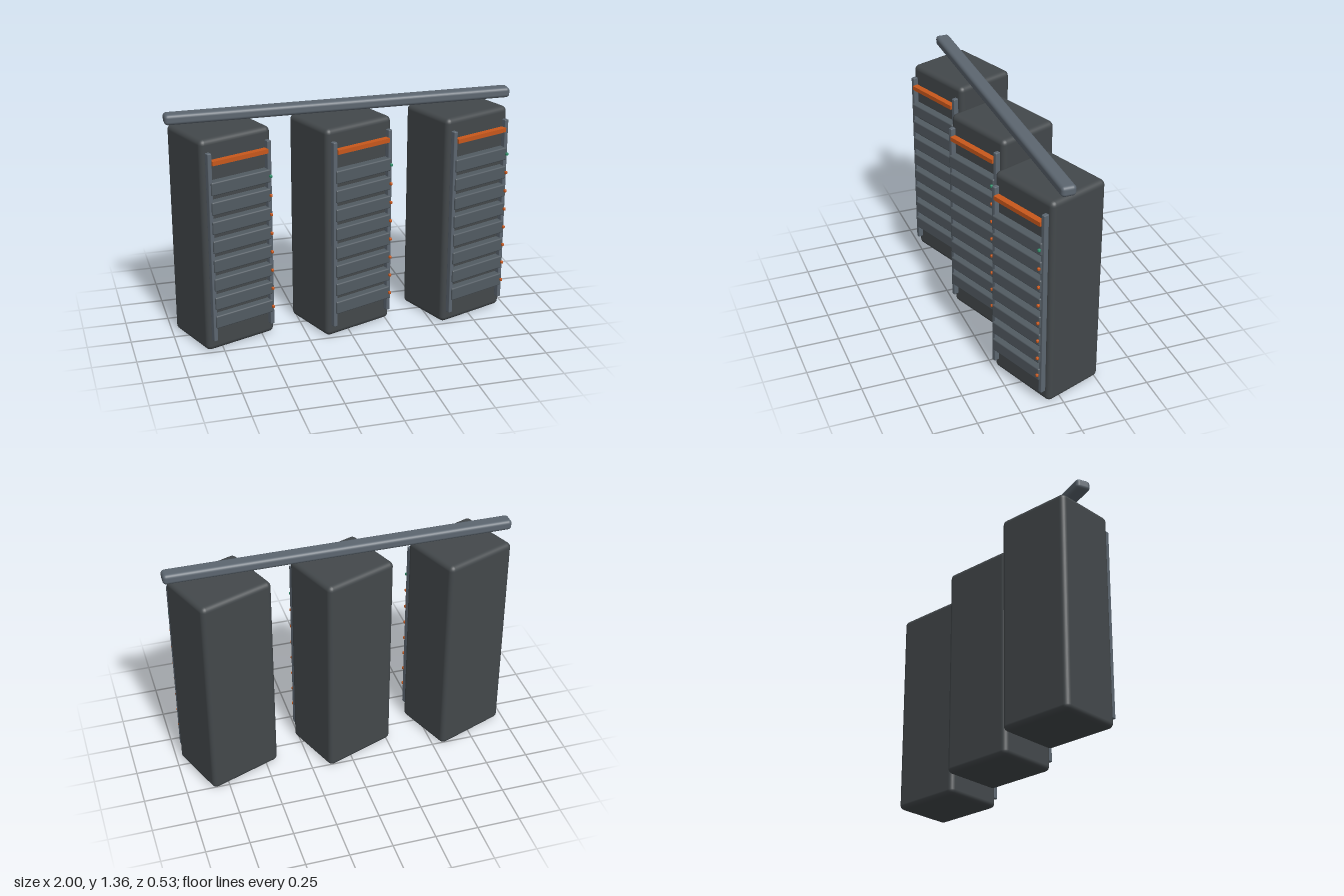
import * as THREE from 'three';
import { RoundedBoxGeometry } from 'three/addons/geometries/RoundedBoxGeometry.js';

const paint = (color) => new THREE.MeshStandardMaterial({ color });

export function createModel() {
  const model = new THREE.Group();
  model.name = 'rackRow';

  const cabinetMat = paint(0x43484b);
  const railMat = paint(0x5c6670);
  const drawerMat = paint(0x525b62);
  const orangeMat = paint(0xc8581c);
  const greenMat = paint(0x2f8f6a);

  const roundedBox = (parent, name, size, radius, position, material) => {
    const mesh = new THREE.Mesh(new RoundedBoxGeometry(...size, 3, radius), material);
    mesh.name = name;
    mesh.position.set(...position);
    parent.add(mesh);
  };

  // One cabinet, facing +z before it is turned
  const buildRack = () => {
    const rack = new THREE.Group();
    roundedBox(rack, 'cabinet', [0.45, 1.26, 0.378], 0.03, [0, 0.63, 0], cabinetMat);

    // Upright rails on both sides of the front
    for (const side of [-1, 1]) {
      const name = side > 0 ? 'leftRail' : 'rightRail';
      roundedBox(rack, name, [0.025, 1.12, 0.032], 0.005, [side * 0.19, 0.632, 0.208], railMat);
    }

    // Orange strip above the drawers
    const strip = new THREE.Mesh(new THREE.BoxGeometry(0.356, 0.025, 0.036), orangeMat);
    strip.name = 'lightStrip';
    strip.position.set(0, 1.135, 0.215);
    rack.add(strip);

    // Drawers with a status light each, the top one green
    for (let i = 0; i < 8; i++) {
      const y = 0.192 + i * 0.1139;
      roundedBox(rack, 'drawer', [0.38, 0.077, 0.06], 0.008, [0, y, 0.205], drawerMat);
      roundedBox(rack, 'statusLight', [0.015, 0.017, 0.016], 0.005, [0.184, y, 0.241],
        i === 7 ? greenMat : orangeMat);
    }
    return rack;
  };

  // Three angled cabinets in a row
  for (let i = -1; i <= 1; i++) {
    const rack = buildRack();
    rack.name = 'rack';
    rack.position.set(i * 0.698, 0, -0.018);
    rack.rotation.y = 0.36;
    model.add(rack);
  }

  // Long tray floating above the row
  roundedBox(model, 'overheadTray', [2, 0.06, 0.084], 0.02, [0, 1.326, 0.002], railMat);

  return model;
}
